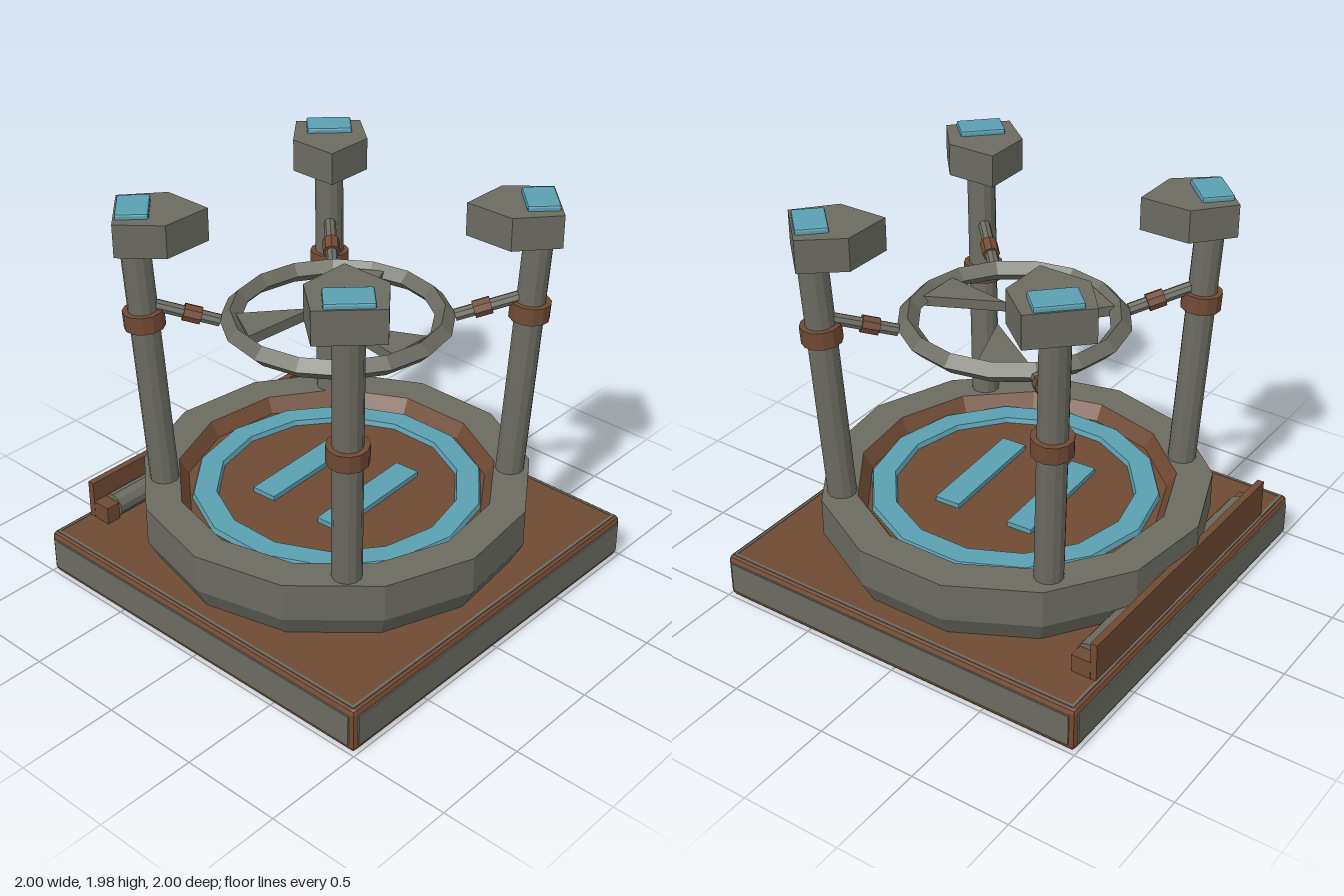
import * as THREE from 'three';
import { RoundedBoxGeometry } from 'three/addons/geometries/RoundedBoxGeometry.js';

const flat = (name, color) => {
  const m = new THREE.MeshStandardMaterial({ color, flatShading: true });
  m.name = name;
  return m;
};

export function createModel() {
  const model = new THREE.Group();
  model.name = 'landingPad';
  const grey = flat('stoneGrey', 0x6b6b62);
  const brown = flat('rustBrown', 0x704a33);
  const blue = flat('signalBlue', 0x5aa0b2);

  const add = (parent, name, geo, mat, x = 0, y = 0, z = 0) => {
    const m = new THREE.Mesh(geo, mat);
    m.name = name;
    m.position.set(x, y, z);
    parent.add(m);
    return m;
  };
  const box = (parent, name, mat, x0, x1, y0, y1, z0, z1) =>
    add(parent, name, new THREE.BoxGeometry(x1 - x0, y1 - y0, z1 - z0), mat,
      (x0 + x1) / 2, (y0 + y1) / 2, (z0 + z1) / 2);
  const lathe = (name, pts, sides, mat, start = 0) =>
    add(model, name, new THREE.LatheGeometry(pts.map(p => new THREE.Vector2(...p)), sides, start), mat);
  // Cylinder between two points of the local x-y plane
  const rod = (parent, name, mat, a, b, r, sides) => {
    const dx = b[0] - a[0], dy = b[1] - a[1];
    const m = add(parent, name, new THREE.CylinderGeometry(r, r, Math.hypot(dx, dy), sides), mat,
      (a[0] + b[0]) / 2, (a[1] + b[1]) / 2, 0);
    m.rotation.z = Math.atan2(-dx, dy);
    return m;
  };
  // Flat outline given as [x, z], raised to a height
  const slab = (pts, height) => {
    const shape = new THREE.Shape(pts.map(([x, z]) => new THREE.Vector2(x, -z)));
    return new THREE.ExtrudeGeometry(shape, { depth: height, bevelEnabled: false }).rotateX(-Math.PI / 2);
  };

  // Square base with side panels, underside and a thin line round the top
  add(model, 'baseCore', new RoundedBoxGeometry(1.986, 0.23, 1.986, 1, 0.025), brown, 0, 0.12, 0);
  box(model, 'baseUnderside', grey, -0.975, 0.975, 0, 0.01, -0.975, 0.975);
  for (let i = 0; i < 4; i++) {
    const side = new THREE.Group();
    side.name = 'baseSide';
    side.rotation.y = i * Math.PI / 2;
    model.add(side);
    box(side, 'sidePanel', grey, -0.965, 0.965, 0.04, 0.2, 0.98, 1);
    box(side, 'topLine', grey, -0.972, 0.972, 0.23, 0.238, 0.958, 0.972);
  }

  // Round wall and sunken floor
  lathe('wall', [[0.885, 0.23], [0.949, 0.35], [0.949, 0.54], [0.775, 0.54]], 13, grey).position.x = -0.01;
  lathe('floor', [[0.775, 0.54], [0.73, 0.465], [0, 0.465]], 13, brown).position.x = -0.01;

  // Floor markings: ring and two bars
  lathe('markingRing', [[0.71, 0.46], [0.7, 0.49], [0.59, 0.49], [0.58, 0.46]], 14, blue, Math.PI / 2);
  const marking = new THREE.Group();
  marking.name = 'markingBars';
  marking.rotation.y = 0.05;
  model.add(marking);
  for (const x of [-0.21, 0.19]) box(marking, 'markingBar', blue, x - 0.065, x + 0.065, 0.46, 0.49, -0.305, 0.305);

  // Raised ring with three pointed blades
  const halo = add(model, 'upperRing', new THREE.TorusGeometry(0.495, 0.05, 4, 16), grey, 0, 1.39, 0);
  halo.rotation.x = Math.PI / 2;
  for (let i = 0; i < 3; i++) {
    const blade = add(model, 'blade', slab([[0.1, 0.07], [0.45, 0.13], [0.45, -0.1]], 0.05), grey, 0, 1.365, 0);
    blade.rotation.y = -i * Math.PI * 2 / 3;
  }

  // Four leaning towers, built with local x pointing outward
  const foot = [0.83, 0.46], head = [0.91, 1.82];
  const along = y => [foot[0] + (head[0] - foot[0]) * (y - foot[1]) / (head[1] - foot[1]), y];
  const armAt = t => [0.54 + 0.33 * t, 1.385 + 0.1 * t];
  const cap = [[0.99, -0.157], [0.99, 0.157], [0.755, 0.178], [0.575, 0], [0.755, -0.178]];
  for (const [sx, sz, collarY] of [[1, 1, 1.21], [1, -1, 1.41], [-1, 1, 1.41], [-1, -1, 1.26]]) {
    const tower = new THREE.Group();
    tower.name = 'tower';
    tower.rotation.y = Math.atan2(-sz, sx);
    model.add(tower);
    rod(tower, 'post', grey, foot, head, 0.07, 12);
    rod(tower, 'collar', brown, along(collarY - 0.043), along(collarY + 0.043), 0.097, 12);
    rod(tower, 'arm', grey, armAt(0), armAt(1), 0.03, 8);
    rod(tower, 'armSleeve', brown, armAt(0.26), armAt(0.5), 0.043, 8);
    add(tower, 'cap', slab(cap, 0.16), grey, 0, 1.79, 0);
    add(tower, 'lamp', new RoundedBoxGeometry(0.15, 0.035, 0.216, 1, 0.01), blue, 0.906, 1.958, 0);
  }

  // Rail with a pipe along the right edge
  box(model, 'railPlate', brown, -0.96, -0.925, 0.23, 0.43, -0.77, 0.765);
  for (const z of [-0.735, 0.727]) box(model, 'pipeBracket', brown, -0.93, -0.83, 0.23, 0.325, z - 0.037, z + 0.037);
  const pipe = add(model, 'pipe', new THREE.CylinderGeometry(0.06, 0.06, 1.39, 10), grey, -0.872, 0.293, -0.005);
  pipe.rotation.x = Math.PI / 2;

  return model;
}
